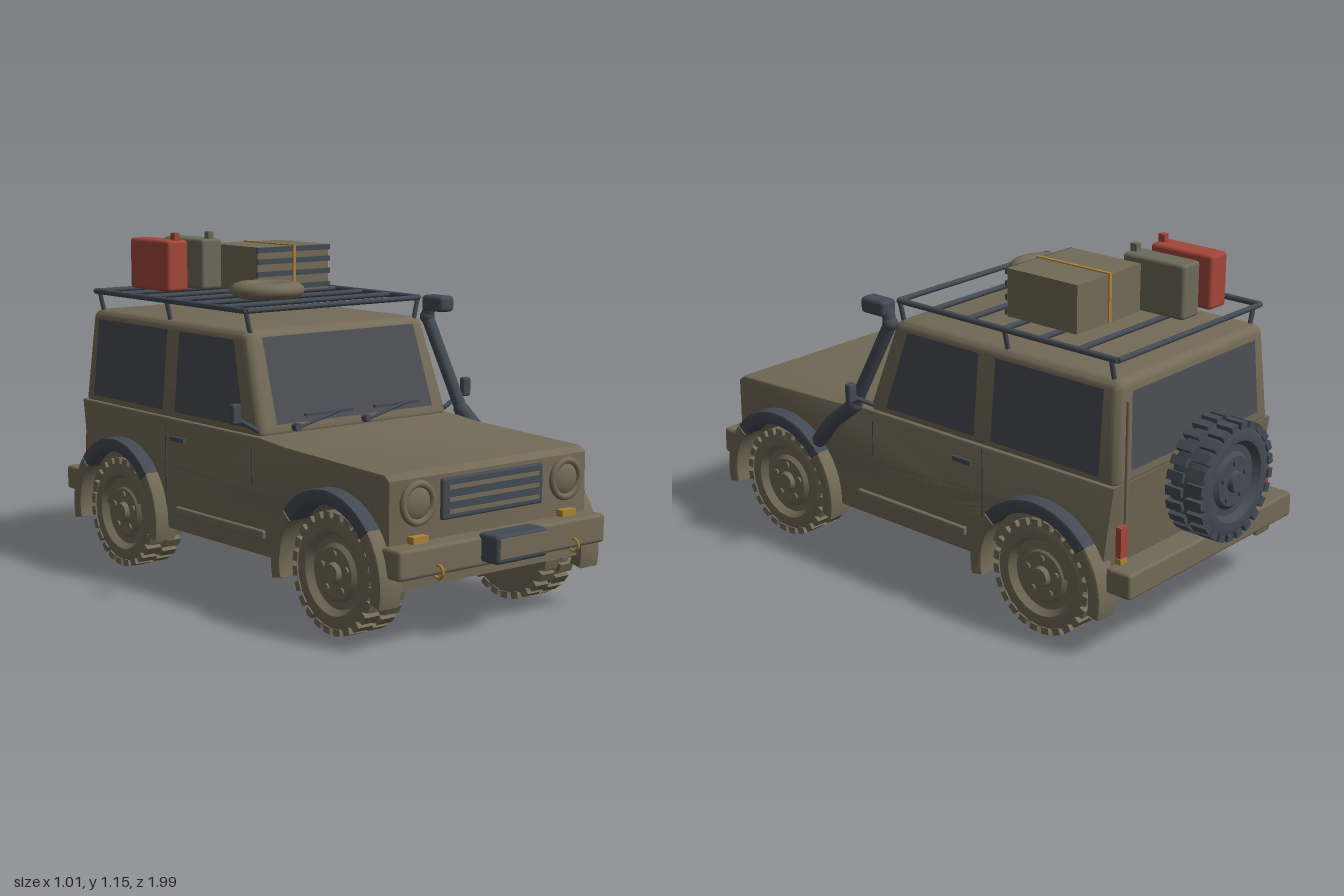
import * as THREE from 'three';
import { toCreasedNormals } from 'three/addons/utils/BufferGeometryUtils.js';
import { RoundedBoxGeometry } from 'three/addons/geometries/RoundedBoxGeometry.js';

const paint = (name, color, side = THREE.FrontSide) => {
  const m = new THREE.MeshStandardMaterial({ color, side });
  m.name = name;
  return m;
};

export function createModel() {
  const olive = paint('olive body', 0x736a57);
  const dark = paint('dark trim', 0x434a53);
  const glass = paint('smoked glass', 0x4a4d52, THREE.DoubleSide);
  const red = paint('red', 0xa3463a);
  const amber = paint('amber', 0xa98238);
  const grey = paint('grey olive', 0x6c6a5a);

  const model = new THREE.Group();
  model.name = 'offRoadCar';

  const add = (name, geo, mat, pos = [0, 0, 0], parent = model) => {
    const m = new THREE.Mesh(geo, mat);
    m.name = name;
    m.position.set(...pos);
    parent.add(m);
    return m;
  };
  // Box given by its limits on each axis; r rounds the edges
  const box = (name, mat, [x0, x1], [y0, y1], [z0, z1], r = 0, parent = model) => {
    const s = [x1 - x0, y1 - y0, z1 - z0];
    const geo = r ? new RoundedBoxGeometry(...s, 2, r) : new THREE.BoxGeometry(...s);
    return add(name, geo, mat, [(x0 + x1) / 2, (y0 + y1) / 2, (z0 + z1) / 2], parent);
  };
  const rod = (name, mat, a, b, r, parent = model) => {
    const A = new THREE.Vector3(...a), B = new THREE.Vector3(...b), d = B.clone().sub(A);
    const m = add(name, new THREE.CylinderGeometry(r, r, d.length(), 10), mat, [0, 0, 0], parent);
    m.position.copy(A).add(B).multiplyScalar(0.5);
    m.quaternion.setFromUnitVectors(new THREE.Vector3(0, 1, 0), d.normalize());
    return m;
  };
  // Extrudes a (z, y) outline to a given width across x, centred
  const across = (shape, width, bevel = 0) => {
    const geo = new THREE.ExtrudeGeometry(shape, {
      depth: width - 2 * bevel, curveSegments: 24, bevelEnabled: bevel > 0,
      bevelSize: bevel, bevelThickness: bevel, bevelOffset: -bevel, bevelSegments: 2,
    });
    geo.translate(0, 0, -(width - 2 * bevel) / 2);
    geo.rotateY(-Math.PI / 2);
    return toCreasedNormals(geo, 0.6);
  };

  const axleZ = { front: 0.605, rear: -0.55 }, axleY = 0.19;

  // Lower body with wheel openings
  const s = new THREE.Shape();
  const bottom = 0.175, openR = 0.217, dip = Math.asin((axleY - bottom) / openR);
  s.moveTo(-0.82, bottom);
  for (const z of [axleZ.rear, axleZ.front]) s.absarc(z, axleY, openR, Math.PI + dip, -dip, true);
  [[0.847, bottom], [0.847, 0.505], [0.825, 0.523], [0.36, 0.54], [0.22, 0.553], [-0.82, 0.556]]
    .forEach(([z, y]) => s.lineTo(z, y));
  add('body', across(s, 0.82, 0.008), olive);
  box('floor', olive, [-0.29, 0.29], [0.176, 0.2], [-0.81, 0.835]);

  // Cabin: rounded box tapered towards the roof
  const t = (y) => (y - 0.54) / 0.335;
  const sideX = (y) => 0.402 - 0.03 * t(y);
  const frontZ = (y) => 0.222 - 0.112 * t(y);
  const rearZ = (y) => -0.82 + 0.018 * t(y);
  const cabin = new RoundedBoxGeometry(2, 0.335, 2, 3, 0.03);
  cabin.translate(0, 0.7075, 0);
  const cp = cabin.attributes.position;
  // keep the corner radius even by mapping the inset from each face
  const inset = (v, half) => Math.sign(v) * (half - (1 - Math.abs(v)));
  for (let i = 0; i < cp.count; i++) {
    const y = cp.getY(i), zf = frontZ(y), zr = rearZ(y);
    cp.setX(i, inset(cp.getX(i), sideX(y)));
    cp.setZ(i, (zf + zr) / 2 + inset(cp.getZ(i), (zf - zr) / 2));
  }
  add('cabin', toCreasedNormals(cabin, 0.5), olive);

  // Glass laid just outside the cabin walls
  const pane = (name, pts, map) => {
    const geo = new THREE.ShapeGeometry(new THREE.Shape(pts.map((p) => new THREE.Vector2(...p))));
    const p = geo.attributes.position;
    for (let i = 0; i < p.count; i++) p.setXYZ(i, ...map(p.getX(i), p.getY(i)));
    geo.computeVertexNormals();
    add(name, geo, glass);
  };
  pane('windscreen', [[-0.33, 0.583], [0.33, 0.583], [0.32, 0.853], [-0.32, 0.853]],
    (x, y) => [x, y, frontZ(y) + 0.004]);
  pane('rearWindow', [[-0.33, 0.59], [0.33, 0.59], [0.315, 0.835], [-0.315, 0.835]],
    (x, y) => [x, y, rearZ(y) - 0.004]);
  for (const d of [-1, 1]) {
    const wall = (z, y) => [d * (sideX(y) + 0.004), y, z];
    pane('frontSideWindow', [[0.13, 0.575], [-0.255, 0.575], [-0.255, 0.843], [0.05, 0.843]], wall);
    pane('rearSideWindow', [[-0.325, 0.575], [-0.755, 0.575], [-0.75, 0.843], [-0.325, 0.843]], wall);
  }

  // Wheels, built with the outer face towards +x
  const wheel = (name, mat) => {
    const g = new THREE.Group();
    g.name = name;
    const profile = [[0.1, -0.062], [0.15, -0.066], [0.17, -0.06], [0.177, -0.045], [0.177, 0.045],
      [0.17, 0.06], [0.15, 0.066], [0.13, 0.064], [0.12, 0.05], [0.112, 0.04]];
    const tyre = new THREE.LatheGeometry(profile.map((p) => new THREE.Vector2(...p)), 40);
    tyre.rotateZ(-Math.PI / 2);
    add('tyre', toCreasedNormals(tyre, 0.5), mat, [0, 0, 0], g);
    const disc = (n, r, x0, x1, y = 0, z = 0, r2 = r) => {
      const geo = new THREE.CylinderGeometry(r2, r, x1 - x0, 28);
      geo.rotateZ(-Math.PI / 2);
      add(n, geo, mat, [(x0 + x1) / 2, y, z], g);
    };
    disc('rim', 0.116, -0.058, 0.042);
    disc('rimDome', 0.095, 0.04, 0.054, 0, 0, 0.08);
    disc('hub', 0.036, 0.05, 0.07, 0, 0, 0.03);
    for (let i = 0; i < 5; i++) {
      const a = i / 5 * Math.PI * 2 + Math.PI / 2;
      disc('wheelNut', 0.011, 0.05, 0.061, 0.06 * Math.sin(a), 0.06 * Math.cos(a));
    }
    const knob = new THREE.BoxGeometry(0.058, 0.022, 0.03);
    const n = 24;
    for (let i = 0; i < n * 2; i++) {
      const a = i / (n * 2) * Math.PI * 2, row = i % 2 ? 1 : -1;
      const k = add('treadBlock', knob, mat, [row * 0.037, 0.179 * Math.cos(a), 0.179 * Math.sin(a)], g);
      k.rotation.x = a;
    }
    model.add(g);
    return g;
  };

  // Flared arches: dark crown, olive lower ends
  const arch = (name, mat, x, z, a0, a1) => {
    const sh = new THREE.Shape();
    sh.absarc(0, 0, 0.262, a0, a1, false);
    sh.absarc(0, 0, 0.216, a1, a0, true);
    add(name, across(sh, 0.085, 0.008), mat, [x, axleY, z]);
  };
  for (const end of ['front', 'rear']) for (const d of [-1, 1]) {
    const w = wheel(end + 'Wheel', olive), z = axleZ[end], x = d * 0.418;
    w.position.set(d * 0.362, axleY, z);
    if (d < 0) w.rotation.y = Math.PI;
    const cut = 0.7, low = -0.22;
    arch(end + 'ArchCrown', dark, x, z, cut, Math.PI - cut);
    arch(end + 'ArchEnd', olive, x, z, low, cut);
    arch(end + 'ArchEnd', olive, x, z, Math.PI - cut, Math.PI - low);
  }

  // Spare wheel on its bracket
  const spare = wheel('spareWheel', dark);
  spare.position.set(0.03, 0.508, -0.932);
  spare.rotation.y = Math.PI / 2;
  rod('spareBracket', dark, [0.03, 0.508, -0.81], [0.03, 0.508, -0.9], 0.045);

  // Bumpers, winch and grille
  box('frontBumper', olive, [-0.43, 0.43], [0.222, 0.314], [0.83, 0.917], 0.012);
  box('rearBumper', olive, [-0.43, 0.43], [0.222, 0.305], [-0.903, -0.81], 0.01);
  box('winch', dark, [-0.107, 0.107], [0.237, 0.326], [0.9, 0.985], 0.012);
  box('winchCover', olive, [-0.097, 0.097], [0.255, 0.316], [0.98, 0.989]);
  box('grille', dark, [-0.21, 0.21], [0.366, 0.493], [0.835, 0.858], 0.008);
  for (const y of [0.39, 0.427, 0.464])
    box('grilleSlat', olive, [-0.187, 0.187], [y - 0.006, y + 0.006], [0.855, 0.864]);

  // Parts mirrored left and right
  for (const d of [-1, 1]) {
    const span = (a, b) => (d > 0 ? [a, b] : [-b, -a]);
    add('headlightRing', new THREE.TorusGeometry(0.058, 0.011, 10, 36), olive, [d * 0.308, 0.432, 0.858]);
    const lamp = add('headlight', new THREE.SphereGeometry(0.055, 28, 14), olive, [d * 0.308, 0.432, 0.848]);
    lamp.scale.z = 0.4;
    box('indicator', amber, span(0.28, 0.34), [0.31, 0.335], [0.845, 0.875]);
    const hook = add('towHook', new THREE.TorusGeometry(0.02, 0.005, 8, 18), amber, [d * 0.283, 0.235, 0.922]);
    hook.rotation.y = Math.PI / 2;
    box('tailLight', red, span(0.358, 0.39), [0.325, 0.425], [-0.835, -0.815]);
    box('rearIndicator', amber, span(0.358, 0.39), [0.303, 0.323], [-0.835, -0.815]);
    box('sillTrim', olive, span(0.4, 0.422), [0.23, 0.26], [-0.23, 0.255], 0.006);
    box('doorHandle', dark, span(0.405, 0.422), [0.48, 0.495], [-0.255, -0.18]);
    box('doorGap', dark, span(0.406, 0.4115), [0.395, 0.515], [0.184, 0.188]);
    box('doorGap', dark, span(0.406, 0.4115), [0.25, 0.545], [-0.299, -0.295]);
    box('mirror', dark, span(0.47, 0.505), [0.6, 0.665], [0.192, 0.217], 0.008);
    rod('mirrorArm', dark, [d * 0.485, 0.618, 0.2], [d * 0.395, 0.568, 0.2], 0.008);
  }
  box('rearDoorGap', dark, [-0.325, -0.315], [0.31, 0.54], [-0.825, -0.815]);
  rod('aerial', olive, [0.36, 0.43, -0.828], [0.36, 0.82, -0.828], 0.006);

  // Wipers
  for (const x of [-0.26, 0.03]) {
    rod('wiperPivot', dark, [x, 0.568, 0.2], [x, 0.572, 0.235], 0.013);
    rod('wiperArm', dark, [x, 0.568, frontZ(0.568) + 0.014], [x + 0.19, 0.607, frontZ(0.607) + 0.014], 0.005);
    box('wiperBlade', dark, [x + 0.045, x + 0.24], [0.6, 0.608], [0.203, 0.217]);
  }

  // Snorkel
  const path = new THREE.CurvePath();
  const pts = [[0.435, 0.4, 0.415], [0.437, 0.49, 0.34], [0.432, 0.565, 0.245], [0.405, 0.87, 0.1], [0.405, 0.92, 0.115]]
    .map((p) => new THREE.Vector3(...p));
  for (let i = 0; i < pts.length - 1; i++) {
    path.add(new THREE.LineCurve3(pts[i], pts[i + 1]));
    add('snorkelJoint', new THREE.SphereGeometry(0.026, 14, 10), dark, pts[i].toArray());
    rod('snorkelPipe', dark, pts[i].toArray(), pts[i + 1].toArray(), i < 2 ? 0.026 : 0.022);
  }
  box('snorkelHead', dark, [0.374, 0.436], [0.893, 0.947], [0.1, 0.205], 0.014);

  // Roof rack
  const rackY = 0.938, rx = 0.365, z0 = 0.1, z1 = -0.79;
  for (const d of [-1, 1]) {
    rod('rackRail', dark, [d * rx, rackY, z0], [d * rx, rackY, z1], 0.01);
    for (const z of [0.095, -0.35, -0.765])
      rod('rackLeg', dark, [d * rx, rackY, z], [d * 0.347, 0.865, z], 0.008);
  }
  for (const z of [z0, -0.05, -0.195, -0.345, -0.49, -0.64, z1])
    rod('rackBar', dark, [-rx, rackY, z], [rx, rackY, z], 0.009);

  // Cargo: two cans, slatted crate with strap, coiled ring
  for (const [name, mat, x] of [['redCan', red, -0.217], ['greyCan', grey, -0.073]]) {
    box(name, mat, [x - 0.043, x + 0.043], [0.948, 1.125], [-0.73, -0.492], 0.012);
    box(name + 'Cap', mat, [x - 0.011, x + 0.011], [1.115, 1.15], [-0.522, -0.498]);
  }
  box('crate', olive, [-0.027, 0.283], [0.948, 1.103], [-0.567, -0.29]);
  for (const y of [0.963, 1.01, 1.053, 1.093])
    box('crateSlat', dark, [-0.031, 0.287], [y - 0.009, y + 0.009], [-0.292, -0.283]);
  box('strapTop', amber, [0.121, 0.133], [1.1, 1.107], [-0.571, -0.281]);
  for (const z of [-0.571, -0.285]) box('strapSide', amber, [0.121, 0.133], [0.95, 1.107], [z, z + 0.005]);
  const ring = add('coiledRing', new THREE.TorusGeometry(0.083, 0.042, 14, 40), olive, [-0.13, 0.978, -0.1]);
  ring.rotation.x = Math.PI / 2;
  ring.scale.z = 0.65;

  return model;
}
